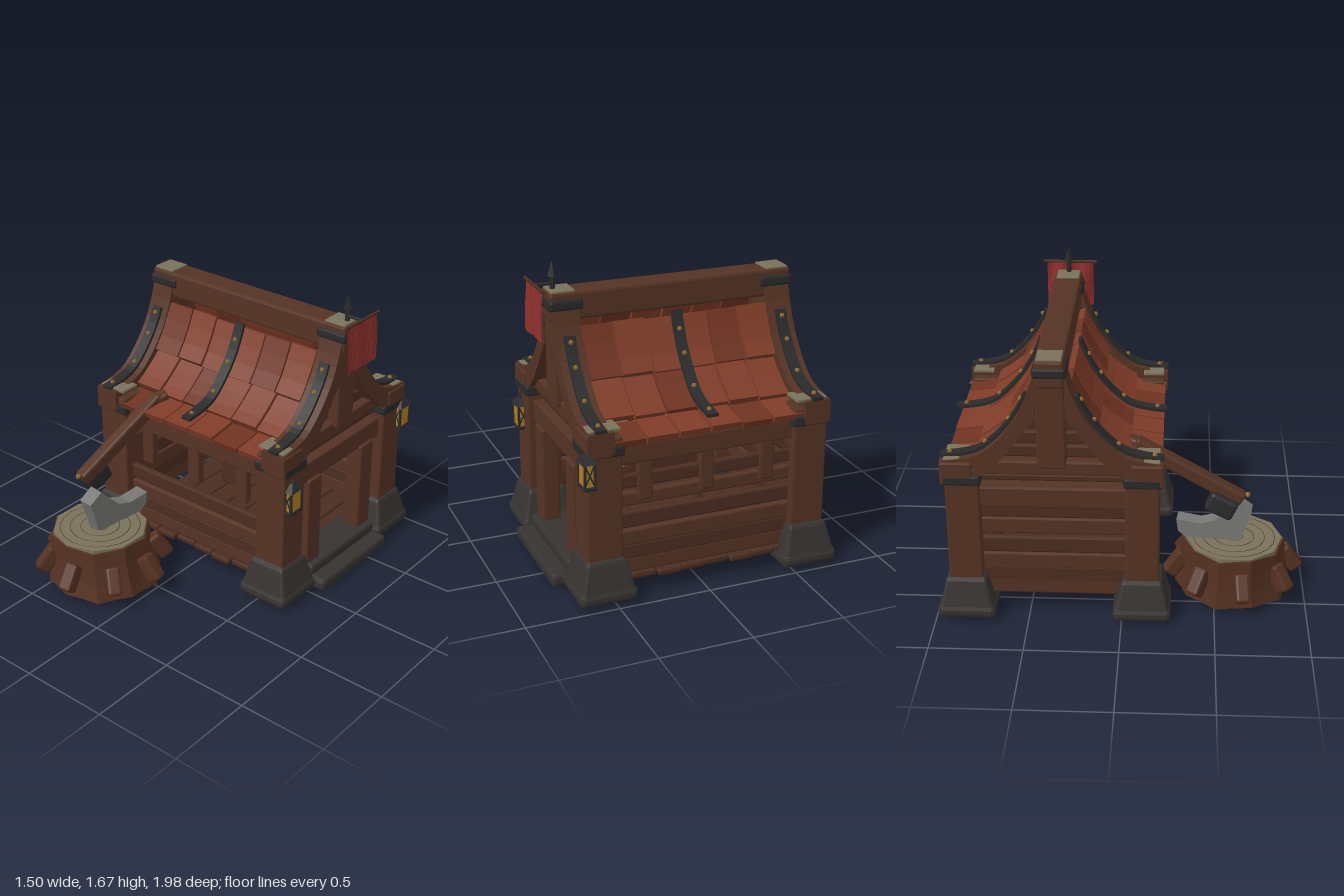
import * as THREE from 'three';
import { RoundedBoxGeometry } from 'three/addons/geometries/RoundedBoxGeometry.js';

const mat = (color, side = THREE.FrontSide) => new THREE.MeshStandardMaterial({ color, flatShading: true, side });
const wood = mat(0x553324), darkWood = mat(0x4b2d20), bark = mat(0x553122), tile = mat(0x7f3c28), tile2 = mat(0x6f3321);
const iron = mat(0x2b2a2a), stone = mat(0x373331), pale = mat(0x79715a), gold = mat(0xb07f25), brass = mat(0x8a6a30);
const steel = mat(0x777775), cloth = mat(0x8c302b, THREE.DoubleSide);

function add(parent, name, geometry, material, x = 0, y = 0, z = 0) {
  const m = new THREE.Mesh(geometry, material);
  m.name = name;
  m.position.set(x, y, z);
  parent.add(m);
  return m;
}

// Box with softened edges
function box(parent, name, material, w, h, d, x, y, z, r = 0.01) {
  return add(parent, name, new RoundedBoxGeometry(w, h, d, 1, Math.min(r, w / 3, h / 3, d / 3)), material, x, y, z);
}

// Profile drawn as (z, y), extruded along x and centred
function slab(points, width) {
  const g = new THREE.ExtrudeGeometry(new THREE.Shape(points), { depth: width, bevelEnabled: false });
  return g.rotateY(-Math.PI / 2).translate(width / 2, 0, 0);
}

const vectors = (pts) => pts.map((p) => new THREE.Vector2(...p));
const rafterCurve = new THREE.SplineCurve(vectors([[0.58, 0.94], [0.46, 0.955], [0.36, 0.99], [0.26, 1.08], [0.17, 1.2], [0.11, 1.33], [0.075, 1.45]]));
const tileCurve = new THREE.SplineCurve(vectors([[0.55, 0.815], [0.47, 0.84], [0.37, 0.875], [0.28, 0.955], [0.19, 1.05], [0.12, 1.18], [0.07, 1.32]]));

function offsetPoint(curve, t, off) {
  const p = curve.getPoint(t), v = curve.getTangent(t);
  return new THREE.Vector2(p.x + v.y * off, p.y - v.x * off);
}

// Curved strip following a roof curve; lift raises its lower end
function strip(curve, t0, t1, thick, width, lift = 0, n = 3) {
  const top = [], under = [];
  for (let i = 0; i <= n; i++) {
    const t = t0 + (t1 - t0) * i / n, l = lift * (1 - i / n);
    top.push(offsetPoint(curve, t, thick + l));
    under.unshift(offsetPoint(curve, t, l));
  }
  return slab([...top, ...under], width);
}

function roofSlope() {
  const g = new THREE.Group();
  g.name = 'roofSlope';
  for (let r = 0; r < 3; r++) for (let c = 0; c < 6; c++) {
    const t = add(g, 'roofTile', strip(tileCurve, r / 3, (r + 1) / 3, 0.035, 0.164, 0.03), (r * 2 + c * 3) % 4 ? tile : tile2, (c - 2.5) * 0.174);
    t.position.y = ((c * 5 + r * 3) % 4) * 0.003;
  }
  const inner = vectors([[0.075, 1.2], [0.16, 1.08], [0.26, 0.95], [0.36, 0.86], [0.58, 0.83]]);
  for (const s of [-1, 1]) {
    add(g, 'rafter', slab([...rafterCurve.getPoints(14), ...inner], 0.14), wood, s * 0.594);
    box(g, 'rafterEndPlate', pale, 0.17, 0.02, 0.12, s * 0.57, 0.942, 0.5, 0.005);
  }
  for (const [x, end] of [[-0.594, 0.79], [0, 0.87], [0.594, 0.79]]) {
    add(g, 'roofStrap', strip(rafterCurve, 0, end, 0.018, 0.06, 0, 14), iron, x);
    for (const t of [0.08, 0.38, 0.6, 0.75]) {
      const p = offsetPoint(rafterCurve, t, 0.02);
      add(g, 'rivet', new THREE.SphereGeometry(0.014, 6, 4), brass, x, p.y, p.x);
    }
  }
  return g;
}

function foot(parent, x, z) {
  box(parent, 'footBase', stone, 0.31, 0.07, 0.31, x, 0.055, z, 0.025);
  const g = new RoundedBoxGeometry(0.3, 0.18, 0.3, 1, 0.02), p = g.attributes.position;
  for (let i = 0; i < p.count; i++) {
    const k = 0.85 - p.getY(i) / 0.18 * 0.3;
    p.setX(i, p.getX(i) * k);
    p.setZ(i, p.getZ(i) * k);
  }
  add(parent, 'foot', g, stone, x, 0.155, z);
}

function lantern(parent, x, y, z) {
  const g = new THREE.Group();
  g.name = 'lantern';
  g.position.set(x, y, z);
  parent.add(g);
  box(g, 'lanternGlass', gold, 0.055, 0.13, 0.085, 0, -0.02, 0, 0.004);
  box(g, 'lanternBase', iron, 0.07, 0.02, 0.105, 0, -0.09, 0, 0.005);
  for (const a of [-1, 1]) for (const b of [-1, 1]) {
    box(g, 'lanternBar', iron, 0.012, 0.13, 0.014, a * 0.026, -0.02, b * 0.045, 0.002);
    box(g, 'lanternCross', iron, 0.008, 0.12, 0.006, 0, -0.02, a * 0.043, 0.002).rotation.z = b * 0.42;
  }
  const roof = add(g, 'lanternRoof', new THREE.CylinderGeometry(0.025, 0.08, 0.04, 4).rotateY(Math.PI / 4), iron, 0, 0.06, 0);
  roof.scale.x = 0.7;
  add(g, 'lanternKnob', new THREE.ConeGeometry(0.018, 0.04, 5), iron, 0, 0.095, 0);
}

function house() {
  const h = new THREE.Group();
  h.name = 'hut';
  h.position.set(-0.025, 0, -0.36);

  // Corner posts
  for (const sx of [-1, 1]) for (const sz of [-1, 1]) {
    foot(h, sx * 0.57, sz * 0.47);
    box(h, 'cornerPost', wood, 0.19, 0.7, 0.18, sx * 0.57, 0.55, sz * 0.47);
    box(h, 'postBand', iron, 0.21, 0.06, 0.2, sx * 0.57, 0.83, sz * 0.47, 0.012);
    box(h, 'postCap', wood, 0.14, 0.13, 0.17, sx * 0.604, 0.87, sz * 0.495);
    const brace = box(h, 'cornerBrace', wood, 0.16, 0.05, 0.06, sx * 0.43, 0.7, sz * 0.47);
    brace.rotation.z = -sx * 0.7;
  }

  // Floor boards
  for (let i = 0; i < 8; i++) box(h, 'floorBoard', darkWood, 0.129, 0.035, 1.04 + (i % 3) * 0.02, (i - 3.5) * 0.136, 0.097, 0);

  // Plank walls
  const rows = [0.16, 0.235, 0.315, 0.415, 0.53, 0.628];
  rows.forEach((y, i) => {
    const t = 0.085 - (i > 3) * 0.012, w = i % 2 ? darkWood : wood;
    box(h, 'backPlank', w, 0.98, t, 0.04, 0, y, -0.49);
    if (i < 4) box(h, 'frontPlank', w, 0.98, t, 0.04, 0, y, 0.49);
    box(h, 'sidePlank', w, 0.04, 0.095, 0.8, -0.58, y, 0);
    for (const s of [-1, 1]) box(h, 'doorSidePlank', w, 0.04, 0.095, 0.12, 0.57, y, s * 0.345);
  });
  for (const s of [-1, 1]) {
    box(h, 'wallHeader', wood, 0.98, 0.11, 0.1, 0, 0.785, s * 0.48);
    for (let i = -1; i <= 1; i++) box(h, 'hangingStud', wood, 0.08, 0.22, 0.05, i * 0.34, 0.63, s * 0.5);
    box(h, 'sideHeader', wood, 0.1, 0.12, 0.78, s * 0.58, 0.715, 0);
    box(h, 'gableTie', wood, 0.1, 0.08, 0.8, s * 0.58, 0.89, 0);
    box(h, 'gableTieLower', darkWood, 0.06, 0.04, 0.8, s * 0.57, 0.82, 0);
    box(h, 'kingPost', wood, 0.13, 0.5, 0.15, s * 0.59, 1.15, 0);
    for (const [y, half] of [[0.97, 0.27], [1.05, 0.21], [1.13, 0.15], [1.205, 0.11]])
      box(h, 'gablePlank', darkWood, 0.035, 0.07, half * 2, s * 0.57, y, 0);
    box(h, 'doorJamb', wood, 0.1, 0.56, 0.12, 0.6, 0.39, s * 0.25);
  }

  // Ridge beam with bands and end plates
  box(h, 'ridgeBeam', wood, 1.35, 0.15, 0.15, 0, 1.435, 0, 0.015);
  for (const s of [-1, 1]) {
    box(h, 'ridgeBand', iron, 0.185, 0.06, 0.175, s * 0.59, 1.445, 0, 0.015);
    box(h, 'ridgePlate', pale, 0.13, 0.02, 0.13, s * 0.6, 1.508, 0, 0.005);
    const slope = roofSlope();
    if (s < 0) slope.rotation.y = Math.PI;
    h.add(slope);
  }

  // Door steps
  box(h, 'lowerStep', stone, 0.3, 0.07, 0.63, 0.625, 0.035, 0, 0.02);
  box(h, 'upperStep', stone, 0.2, 0.07, 0.62, 0.59, 0.1, 0, 0.02);

  // Bench inside
  box(h, 'benchTop', darkWood, 0.24, 0.03, 0.3, -0.22, 0.35, -0.25);
  for (const s of [-1, 1]) box(h, 'benchLeg', darkWood, 0.2, 0.23, 0.04, -0.22, 0.225, -0.25 + s * 0.11);

  lantern(h, 0.67, 0.68, 0.495);
  lantern(h, 0.665, 0.76, -0.56);

  // Banner
  add(h, 'bannerPole', new THREE.CylinderGeometry(0.012, 0.014, 0.09, 6), iron, 0.635, 1.55, 0);
  add(h, 'poleTip', new THREE.ConeGeometry(0.026, 0.085, 4), iron, 0.635, 1.625, 0);
  box(h, 'bannerArm', iron, 0.1, 0.015, 0.02, 0.685, 1.545, 0, 0.004);
  add(h, 'bannerBar', new THREE.CylinderGeometry(0.009, 0.009, 0.31, 6).rotateX(Math.PI / 2), darkWood, 0.73, 1.545, 0);
  const flag = new THREE.PlaneGeometry(0.27, 0.27, 12, 5).rotateY(Math.PI / 2), p = flag.attributes.position;
  for (let i = 0; i < p.count; i++) {
    const z = p.getZ(i), drop = (0.135 - p.getY(i)) / 0.27;
    p.setX(i, Math.sin(z * 45 + drop * 2) * 0.012);
    p.setY(i, p.getY(i) + Math.cos(z * 40) * 0.012 * drop);
  }
  add(h, 'banner', flag, cloth, 0.73, 1.405, 0);
  return h;
}

function stump() {
  const g = new THREE.Group();
  g.name = 'choppingStump';
  g.position.set(-0.31, 0, 0.605);
  // Bark leans slightly and flares at the base
  const body = new THREE.CylinderGeometry(0.268, 0.31, 0.28, 20, 3), p = body.attributes.position;
  for (let i = 0; i < p.count; i++) {
    const a = Math.atan2(p.getX(i), p.getZ(i)), up = p.getY(i) / 0.28 + 0.5;
    const k = 1 + 0.035 * Math.cos(a * 10) - 0.12 * up * (1 - up);
    p.setX(i, p.getX(i) * k - 0.025 * up);
    p.setZ(i, p.getZ(i) * k);
    p.setY(i, p.getY(i) + 0.008 * Math.cos(a * 5));
  }
  add(g, 'stumpBark', body, bark, 0, 0.172, 0);
  add(g, 'stumpTop', new THREE.CylinderGeometry(0.265, 0.265, 0.02, 10), pale, -0.025, 0.316, 0);
  for (const r of [0.05, 0.11, 0.17, 0.225])
    add(g, 'growthRing', new THREE.TorusGeometry(r, 0.002, 3, 20).rotateX(Math.PI / 2), darkWood, -0.025, 0.326, 0);
  for (let i = 0; i < 8; i++) {
    const arm = new THREE.Group();
    arm.name = 'rootStub';
    arm.rotation.y = 0.13 + i * Math.PI / 4;
    box(arm, 'root', bark, 0.078, 0.155, 0.085, 0, 0.165, 0.315, 0.015).rotation.x = -0.62;
    g.add(arm);
  }
  return g;
}

function axe() {
  const g = new THREE.Group();
  g.name = 'axe';
  const handle = box(g, 'axeHandle', wood, 0.075, 0.08, 0.66, -0.395, 0.76, 0.35, 0.015);
  handle.lookAt(-0.425, 0.61, 0.64);
  box(g, 'gripEnd', wood, 0.075, 0.06, 0.09, -0.355, 0.905, 0.06, 0.015).rotation.set(0.3, -0.4, 0);
  add(g, 'handlePin', new THREE.SphereGeometry(0.016, 6, 4), brass, -0.425, 0.637, 0.668);

  // Head: blade in the stump, poll on the other side
  const outline = [[0.2, 0.51], [0.12, 0.565], [0.06, 0.5], [0, 0.44], [-0.08, 0.415], [-0.21, 0.43], [-0.2, 0.36], [-0.14, 0.31], [0.14, 0.31]];
  const blade = add(g, 'axeBlade', slab(vectors(outline), 0.09), steel, -0.325, 0, 0.5);
  blade.rotation.y = -0.12;
  const poll = box(g, 'axePoll', iron, 0.11, 0.115, 0.16, -0.435, 0.585, 0.53, 0.02);
  poll.rotation.set(0.42, -0.12, 0);
  return g;
}

export function createModel() {
  const model = new THREE.Group();
  model.name = 'woodcutterHut';
  model.add(house(), stump(), axe());
  return model;
}
